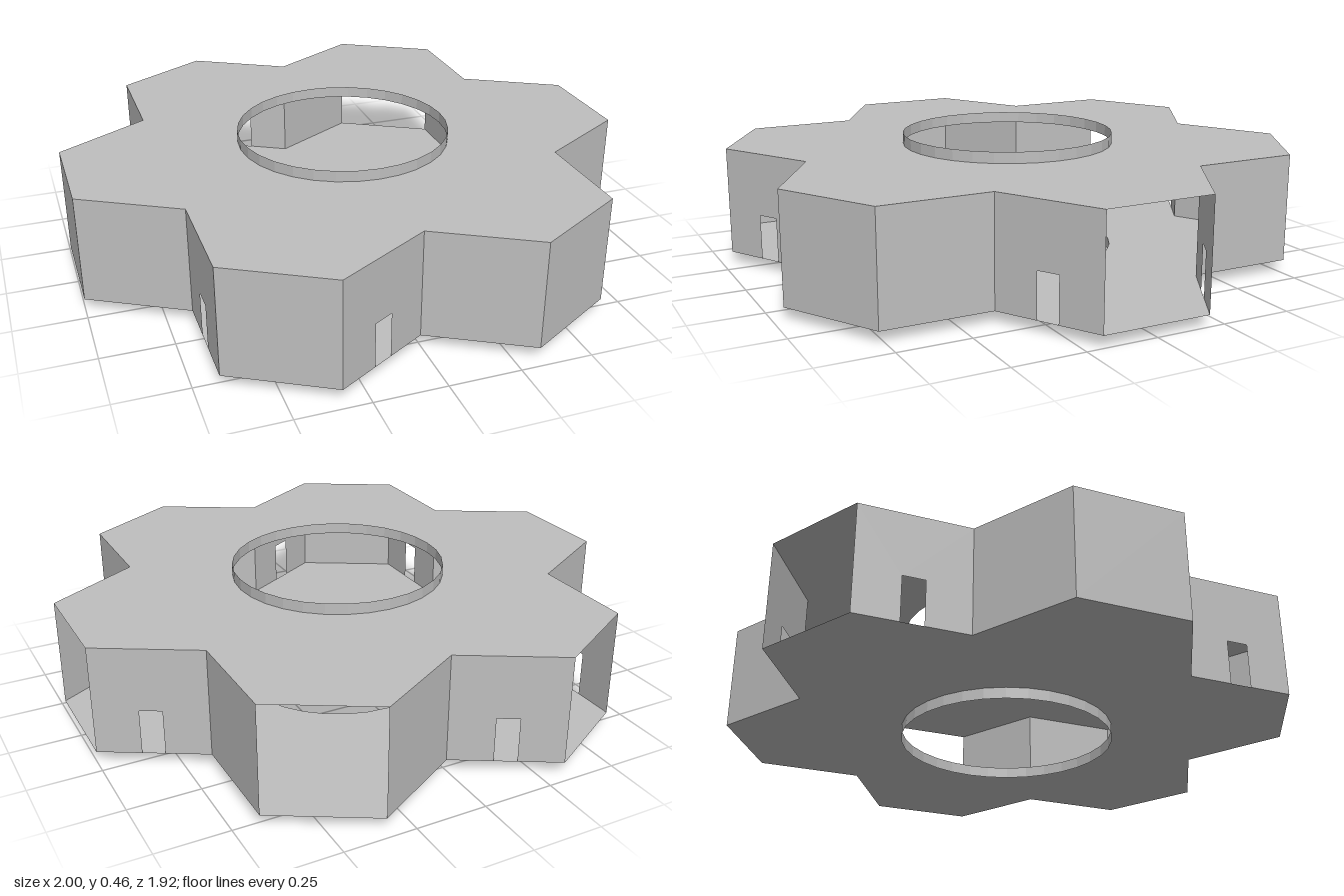
import * as THREE from 'three';

const APOTHEM = 1 / 3;                    // of each hexagonal room
const SIDE = (2 * APOTHEM) / Math.sqrt(3);
const FLOOR_Y = 0.04, ROOF_Y = FLOOR_Y + SIDE, RIM = 0.04;
const DOOR_W = 0.077, DOOR_H = 0.16;

// One bay per 60 degrees, measured from +z towards +x
const bays = [
  { deg: 30, doors: false, open: false },
  { deg: 90, doors: true, open: true },
  { deg: 150, doors: false, open: true },
  { deg: 210, doors: true, open: true },
  { deg: 270, doors: false, open: false },
  { deg: 330, doors: true, open: false },
];

// Flat wall panel standing on the floor, optionally with a doorway
function wallGeometry(hasDoor) {
  const w = SIDE / 2, d = DOOR_W / 2;
  const pts = [[-w, 0]];
  if (hasDoor) pts.push([-d, 0], [-d, DOOR_H], [d, DOOR_H], [d, 0]);
  pts.push([w, 0], [w, SIDE], [-w, SIDE]);
  return new THREE.ShapeGeometry(new THREE.Shape(pts.map(([x, y]) => new THREE.Vector2(x, y))));
}

// Star-like outline of six hexagons with a round hole
function slabGeometry() {
  const pts = [];
  const polar = (r, a) => new THREE.Vector2(r * Math.cos(a), r * Math.sin(a));
  const half = Math.atan(SIDE / 2), tip = Math.hypot(1, SIDE / 2);
  for (let i = 0; i < 6; i++) {
    const a = (i * Math.PI) / 3;
    pts.push(polar(tip, a - half), polar(tip, a + half), polar(2 * SIDE, a + Math.PI / 6));
  }
  const shape = new THREE.Shape(pts);
  const hole = new THREE.Path();
  hole.absarc(0, 0, SIDE, 0, Math.PI * 2, true);
  shape.holes.push(hole);
  return new THREE.ShapeGeometry(shape, 16).rotateX(-Math.PI / 2);
}

export function createModel() {
  const model = new THREE.Group();
  model.name = 'hexagonalModule';
  const grey = new THREE.MeshStandardMaterial({ color: 0xbfbfbf, side: THREE.DoubleSide, flatShading: true });
  grey.name = 'plainGrey';

  const add = (parent, name, geometry, y = 0, z = 0) => {
    const mesh = new THREE.Mesh(geometry, grey);
    mesh.name = name;
    mesh.position.set(0, y, z);
    parent.add(mesh);
    return mesh;
  };

  // Floor and roof
  const slab = slabGeometry();
  add(model, 'floor', slab, FLOOR_Y);
  add(model, 'roof', slab, ROOF_Y);

  // Round collars around the two openings
  const rim = new THREE.CylinderGeometry(SIDE, SIDE, RIM, 32, 1, true);
  add(model, 'lowerRim', rim, RIM / 2);
  add(model, 'upperRim', rim, ROOF_Y + RIM / 2);

  // Three outer walls for each bay
  const plain = wallGeometry(false), withDoor = wallGeometry(true);
  for (const { deg, doors, open } of bays) {
    const bay = new THREE.Group();
    bay.name = 'bay' + deg;
    const a = THREE.MathUtils.degToRad(deg);
    bay.position.set(2 * APOTHEM * Math.sin(a), FLOOR_Y, 2 * APOTHEM * Math.cos(a));
    bay.rotation.y = a;
    for (const turn of [-1, 0, 1]) {
      if (turn === 0 && open) continue;
      const pivot = new THREE.Group();
      pivot.name = turn === 0 ? 'endWall' : 'sideWall';
      pivot.rotation.y = (turn * Math.PI) / 3;
      add(pivot, 'wallPanel', turn !== 0 && doors ? withDoor : plain, 0, APOTHEM);
      bay.add(pivot);
    }
    model.add(bay);
  }
  return model;
}
